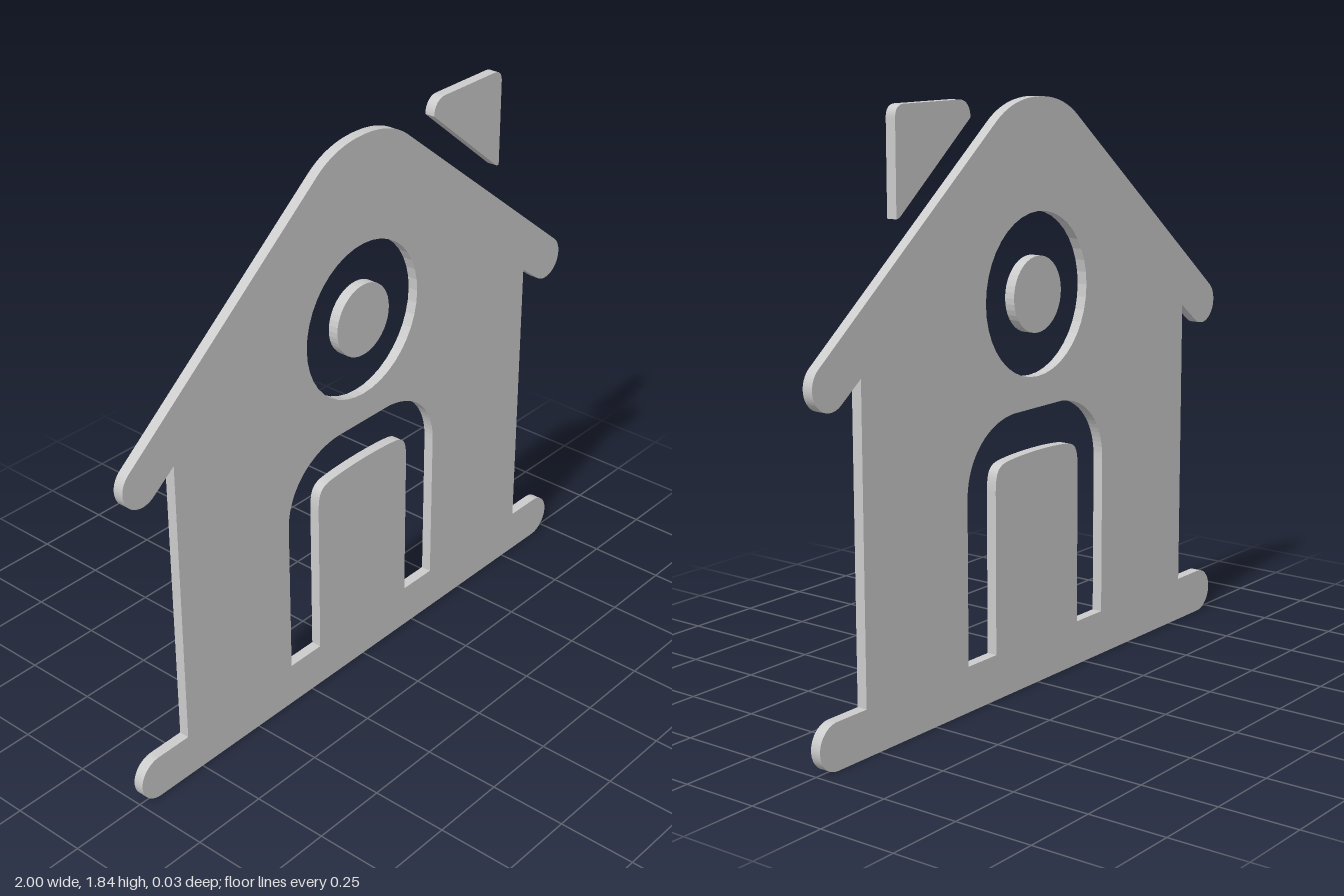
import * as THREE from 'three';

const DEPTH = 0.034;
const material = new THREE.MeshStandardMaterial({ color: 0xcccccc });

// Extrudes a flat outline into a thin plate centred on z = 0
function plate(name, shape) {
  const geometry = new THREE.ExtrudeGeometry(shape, { depth: DEPTH, bevelEnabled: false, curveSegments: 20 });
  geometry.translate(0, 0, -DEPTH / 2);
  const mesh = new THREE.Mesh(geometry, material);
  mesh.name = name;
  return mesh;
}

function circle(path, y, r) {
  path.absarc(0, y, r, 0, Math.PI * 2, false);
  return path;
}

// House silhouette, counter-clockwise from the bottom right
function houseOutline() {
  const s = new THREE.Shape();
  const r = 0.0725, q = Math.PI / 2;
  const tilt = Math.atan2(0.78, 0.62); // direction square to the right roof slope
  const ex = 0.929, ey = 1.096, er = 0.071; // rounded eave end
  s.moveTo(-1 + r, 0);
  s.lineTo(1 - r, 0);
  s.absarc(1 - r, r, r, -q, q, false);
  s.lineTo(0.805, 2 * r);
  s.lineTo(0.805, 1.1);
  s.absarc(ex, ey, er, tilt - Math.PI, tilt, false);
  s.lineTo(0.2, 1.767);
  s.bezierCurveTo(0.14, 1.814, 0.07, 1.83, 0, 1.83);
  s.bezierCurveTo(-0.07, 1.83, -0.14, 1.814, -0.2, 1.767);
  s.absarc(-ex, ey, er, Math.PI - tilt, 2 * Math.PI - tilt, false);
  s.lineTo(-0.805, 1.1);
  s.lineTo(-0.805, 2 * r);
  s.lineTo(-1 + r, 2 * r);
  s.absarc(-1 + r, r, r, q, 3 * q, false);
  return s;
}

// Arched slot that frames the door
function doorSlot() {
  const p = new THREE.Path();
  p.moveTo(0.345, 0.145);
  p.lineTo(0.345, 0.66);
  p.bezierCurveTo(0.345, 0.785, 0.25, 0.877, 0.12, 0.885);
  p.lineTo(-0.12, 0.885);
  p.bezierCurveTo(-0.25, 0.877, -0.345, 0.785, -0.345, 0.66);
  p.lineTo(-0.345, 0.145);
  p.lineTo(-0.21, 0.145);
  p.lineTo(-0.21, 0.66);
  p.bezierCurveTo(-0.208, 0.715, -0.2, 0.737, -0.15, 0.743);
  p.bezierCurveTo(-0.07, 0.753, 0.07, 0.753, 0.15, 0.743);
  p.bezierCurveTo(0.2, 0.737, 0.208, 0.715, 0.21, 0.66);
  p.lineTo(0.21, 0.145);
  p.closePath();
  return p;
}

// Chimney: triangle with rounded upper corners
function chimneyOutline() {
  const s = new THREE.Shape();
  s.moveTo(0.648, 1.523);
  s.lineTo(0.648, 1.8);
  s.quadraticCurveTo(0.648, 1.838, 0.61, 1.838);
  s.lineTo(0.37, 1.838);
  s.bezierCurveTo(0.34, 1.838, 0.32, 1.815, 0.32, 1.785);
  s.lineTo(0.635, 1.526);
  s.closePath();
  return s;
}

export function createModel() {
  const model = new THREE.Group();
  model.name = 'house';
  const house = houseOutline();
  house.holes.push(circle(new THREE.Path(), 1.235, 0.253), doorSlot());
  model.add(
    plate('houseBody', house),
    plate('windowDisc', circle(new THREE.Shape(), 1.235, 0.118)),
    plate('chimney', chimneyOutline())
  );
  return model;
}
